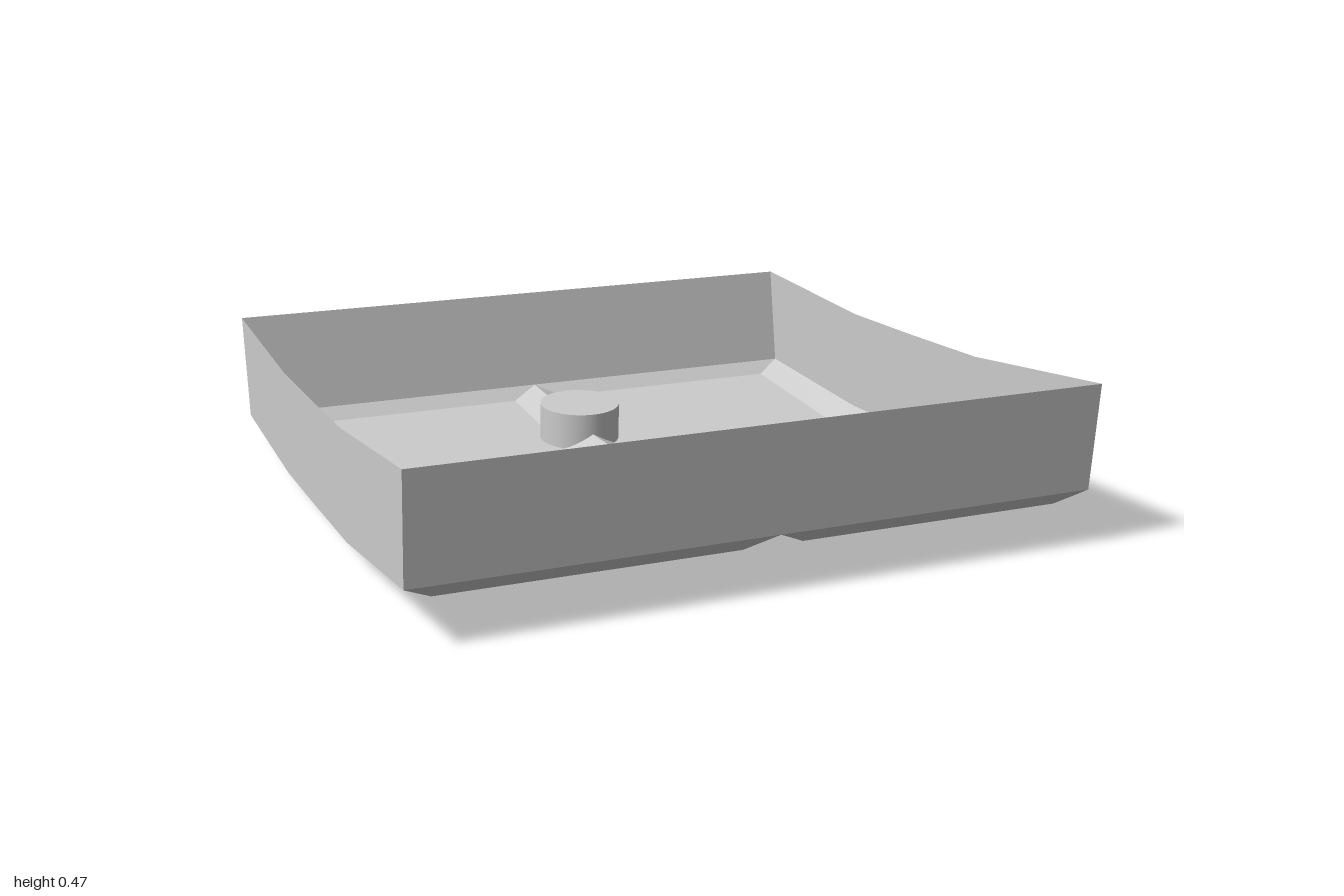
import * as THREE from 'three';

const HALF = 0.975;   // half width of the tray
const RIDGE = 0.027;  // x of the long ridge
const BEVEL = 0.087;  // width of the sloped pan edges
const HOLE_Z = -0.5, HOLE_R = 0.13, STUD_TOP = 0.13;

// [z, y] sections from front to back: the raised outline and sunken bed of each pan
const pans = {
  front: { outer: [[0.975, 0.17], [0.4, 0.09], [0.01, 0.07]], inner: [[0.93, 0.125], [0.4, 0.04], [0.095, 0.03]] },
  back: { outer: [[0.01, 0.07], [-0.35, 0.055], [-0.945, 0.075]], inner: [[-0.07, 0.02], [-0.35, 0.005], [-0.905, 0.035]] },
};
const rim = [[1, 0.48], [0.38, 0.405], [0.01, 0.388], [-0.35, 0.375], [-1, 0.395]];

const lerp = THREE.MathUtils.lerp;
const material = new THREE.MeshStandardMaterial({ color: 0xcccccc, flatShading: true, side: THREE.DoubleSide });
const smooth = new THREE.MeshStandardMaterial({ color: 0xcccccc, side: THREE.DoubleSide });

// Mesh from a list of four-cornered faces
function quadMesh(name, quads) {
  const pos = [];
  for (const [a, b, c, d] of quads) pos.push(...a, ...b, ...c, ...a, ...c, ...d);
  const geometry = new THREE.BufferGeometry();
  geometry.setAttribute('position', new THREE.Float32BufferAttribute(pos, 3));
  geometry.computeVertexNormals();
  const mesh = new THREE.Mesh(geometry, material);
  mesh.name = name;
  return mesh;
}

// Point of a pan on section k, at distance d from the ridge on side s (+1 or -1)
function panPoint(pan, s, k, d) {
  const width = HALF - s * RIDGE;
  const w = Math.max(0, 1 - d / BEVEL, 1 - (width - d) / 0.08);
  const [zo, yo] = pan.outer[k], [zi, yi] = pan.inner[k];
  return [RIDGE + s * d, lerp(yi, yo, w), lerp(zi, zo, w)];
}

// Point between two corners at a given z
function atZ(a, b, z) {
  return [a[0], lerp(a[1], b[1], (z - a[2]) / (b[2] - a[2])), z];
}

function makePan(name, pan, s, hasHole) {
  const width = HALF - s * RIDGE;
  const cuts = hasHole ? [0, 0.03, 0.06, BEVEL, 0.105, 0.12, 0.128, HOLE_R] : [0, BEVEL];
  const columns = [...cuts, width - 0.08, width];
  const quads = [];
  const face = (a, b, c, d) => quads.push(s > 0 ? [a, b, c, d] : [d, c, b, a]);
  for (let i = 0; i < columns.length - 1; i++) {
    const d0 = columns[i], d1 = columns[i + 1];
    for (let k = 0; k < 2; k++) {
      const a = panPoint(pan, s, k, d0), b = panPoint(pan, s, k, d1);
      const c = panPoint(pan, s, k + 1, d1), d = panPoint(pan, s, k + 1, d0);
      if (hasHole && k === 1 && d0 < HOLE_R) {
        // Leave the round opening free between the two strips
        const h0 = Math.sqrt(HOLE_R ** 2 - d0 ** 2), h1 = Math.sqrt(Math.max(0, HOLE_R ** 2 - d1 ** 2));
        face(a, b, atZ(b, c, HOLE_Z + h1), atZ(a, d, HOLE_Z + h0));
        face(atZ(a, d, HOLE_Z - h0), atZ(b, c, HOLE_Z - h1), c, d);
      } else face(a, b, c, d);
    }
  }
  // Sloped ends
  const inA = BEVEL, inB = width - 0.08;
  face(panPoint(pan, s, 0, 0), panPoint(pan, s, 0, width), panPoint(pan, s, 0, inB), panPoint(pan, s, 0, inA));
  face(panPoint(pan, s, 2, inA), panPoint(pan, s, 2, inB), panPoint(pan, s, 2, width), panPoint(pan, s, 2, 0));
  return quadMesh(name, quads);
}

// Hollow stud, its lower edge following the floor
function makeStud() {
  const stud = new THREE.Group();
  stud.name = 'stud';
  const side = new THREE.CylinderGeometry(HOLE_R, HOLE_R, 1, 48, 1, true);
  const p = side.attributes.position;
  for (let i = 0; i < p.count; i++) {
    const x = p.getX(i), z = p.getZ(i) + HOLE_Z;
    const s = x < 0 ? -1 : 1;
    if (p.getY(i) > 0) {
      p.setXYZ(i, x, STUD_TOP - 0.05 * p.getZ(i), p.getZ(i) + 0.005);
    } else {
      const d = Math.abs(x);
      p.setY(i, atZ(panPoint(pans.back, s, 1, d), panPoint(pans.back, s, 2, d), z)[1]);
    }
  }
  const wall = new THREE.Mesh(side, smooth);
  wall.name = 'studSide';
  const cap = new THREE.Mesh(new THREE.CircleGeometry(HOLE_R, 48), material);
  cap.name = 'studTop';
  cap.rotation.x = -Math.PI / 2 + Math.atan(0.05);
  cap.position.set(0, STUD_TOP, 0.005);
  stud.add(wall, cap);
  stud.position.set(RIDGE, 0, HOLE_Z);
  return stud;
}

export function createModel() {
  const tray = new THREE.Group();
  tray.name = 'tray';

  // Four sunken floor pans
  for (const s of [1, -1]) {
    const sideName = s > 0 ? 'Left' : 'Right';
    tray.add(makePan('front' + sideName + 'Pan', pans.front, s, false));
    tray.add(makePan('back' + sideName + 'Pan', pans.back, s, true));
  }

  // Side walls, curved along their length
  const foot = [...pans.front.outer, ...pans.back.outer.slice(1)];
  for (const s of [1, -1]) {
    const quads = [];
    for (let i = 0; i < rim.length - 1; i++) {
      const q = [foot[i], foot[i + 1], rim[i + 1], rim[i]].map(([z, y]) => [s * HALF, y, z]);
      quads.push(s > 0 ? q : q.reverse());
    }
    tray.add(quadMesh(s > 0 ? 'leftWall' : 'rightWall', quads));
  }

  // Front and back walls, leaning outwards
  for (const [name, i, s] of [['frontWall', 0, 1], ['backWall', 4, -1]]) {
    const [zf, yf] = foot[i], [zr, yr] = rim[i], x = s * HALF;
    tray.add(quadMesh(name, [[[-x, yf, zf], [x, yf, zf], [x, yr, zr], [-x, yr, zr]]]));
  }

  tray.add(makeStud());
  return tray;
}
